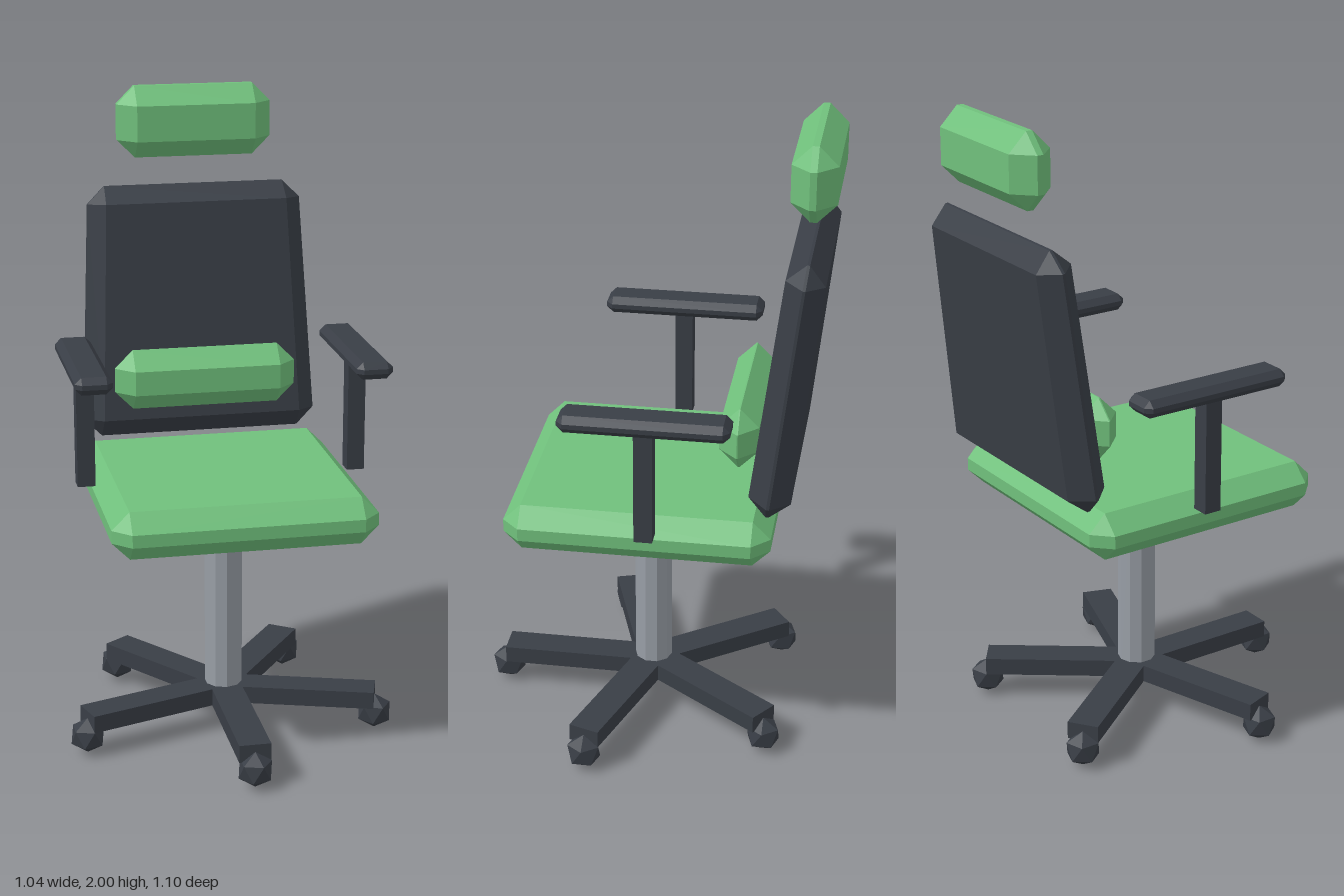
import * as THREE from 'three';
import { ConvexGeometry } from 'three/addons/geometries/ConvexGeometry.js';

// Box with every edge and corner chamfered; taper narrows it towards the top
function chamferBox(w, h, d, bevel, taper = 0) {
  const half = [w / 2, h / 2, d / 2];
  const points = [];
  for (const sx of [-1, 1]) for (const sy of [-1, 1]) for (const sz of [-1, 1]) {
    for (let axis = 0; axis < 3; axis++) {
      const [x, y, z] = half.map((v, i) => (i === axis ? v : v - bevel));
      const k = 1 - (taper * sy * y) / half[1];
      points.push(new THREE.Vector3(sx * x * k, sy * y, sz * z * k));
    }
  }
  return new ConvexGeometry(points);
}

// Separate the faces so that each one is shaded flat
function faceted(geometry) {
  const flat = geometry.index ? geometry.toNonIndexed() : geometry;
  flat.computeVertexNormals();
  return flat;
}

export function createModel() {
  const fabric = new THREE.MeshStandardMaterial({ color: 0x70c07c });
  fabric.name = 'green fabric';
  const plastic = new THREE.MeshStandardMaterial({ color: 0x393e46 });
  plastic.name = 'dark plastic';
  const steel = new THREE.MeshStandardMaterial({ color: 0x989ea6 });
  steel.name = 'grey steel';

  const chair = new THREE.Group();
  chair.name = 'officeChair';
  const add = (name, geometry, material, x, y, z, parent = chair) => {
    const mesh = new THREE.Mesh(geometry, material);
    mesh.name = name;
    mesh.position.set(x, y, z);
    parent.add(mesh);
    return mesh;
  };

  // Cushions
  add('seat', chamferBox(0.82, 0.15, 0.82, 0.055), fabric, 0, 0.79, 0.01);
  add('lumbarCushion', chamferBox(0.59, 0.195, 0.12, 0.058), fabric, 0, 1.083, -0.286);
  add('headrest', chamferBox(0.5, 0.23, 0.136, 0.058), fabric, 0, 1.885, -0.482);

  // Backrest, tapered and leaning back
  const backrest = add('backrest', chamferBox(0.735, 0.815, 0.123, 0.057, 0.055), plastic, 0, 1.275, -0.432);
  backrest.rotation.x = -0.119;

  // Armrests
  const padGeometry = chamferBox(0.115, 0.055, 0.51, 0.02);
  const postGeometry = new THREE.BoxGeometry(0.056, 0.365, 0.056);
  for (const side of [-1, 1]) {
    const label = side > 0 ? 'left' : 'right';
    add(label + 'ArmPad', padGeometry, plastic, side * 0.432, 1.212, -0.03);
    add(label + 'ArmPost', postGeometry, plastic, side * 0.432, 1.01, -0.028);
  }

  // Column
  add('column', faceted(new THREE.CylinderGeometry(0.06, 0.06, 0.64, 10)), steel, 0, 0.42, 0.01);

  // Five-armed base with a caster under the end of each arm
  const reach = 0.49;
  const armGeometry = new THREE.BoxGeometry(0.1, 0.056, reach).translate(0, 0, reach / 2);
  const casterGeometry = faceted(new THREE.IcosahedronGeometry(0.058, 0));
  casterGeometry.rotateX(-Math.atan((1 + Math.sqrt(5)) / 2)).rotateY(Math.PI / 2);
  const base = new THREE.Group();
  base.name = 'base';
  base.position.z = 0.01;
  chair.add(base);
  for (let i = 0; i < 5; i++) {
    const angle = (i * Math.PI * 2) / 5;
    add('baseArm', armGeometry, plastic, 0, 0.112, 0, base).rotation.y = angle;
    add('caster', casterGeometry, plastic, reach * Math.sin(angle), 0.058, reach * Math.cos(angle), base);
  }

  return chair;
}
